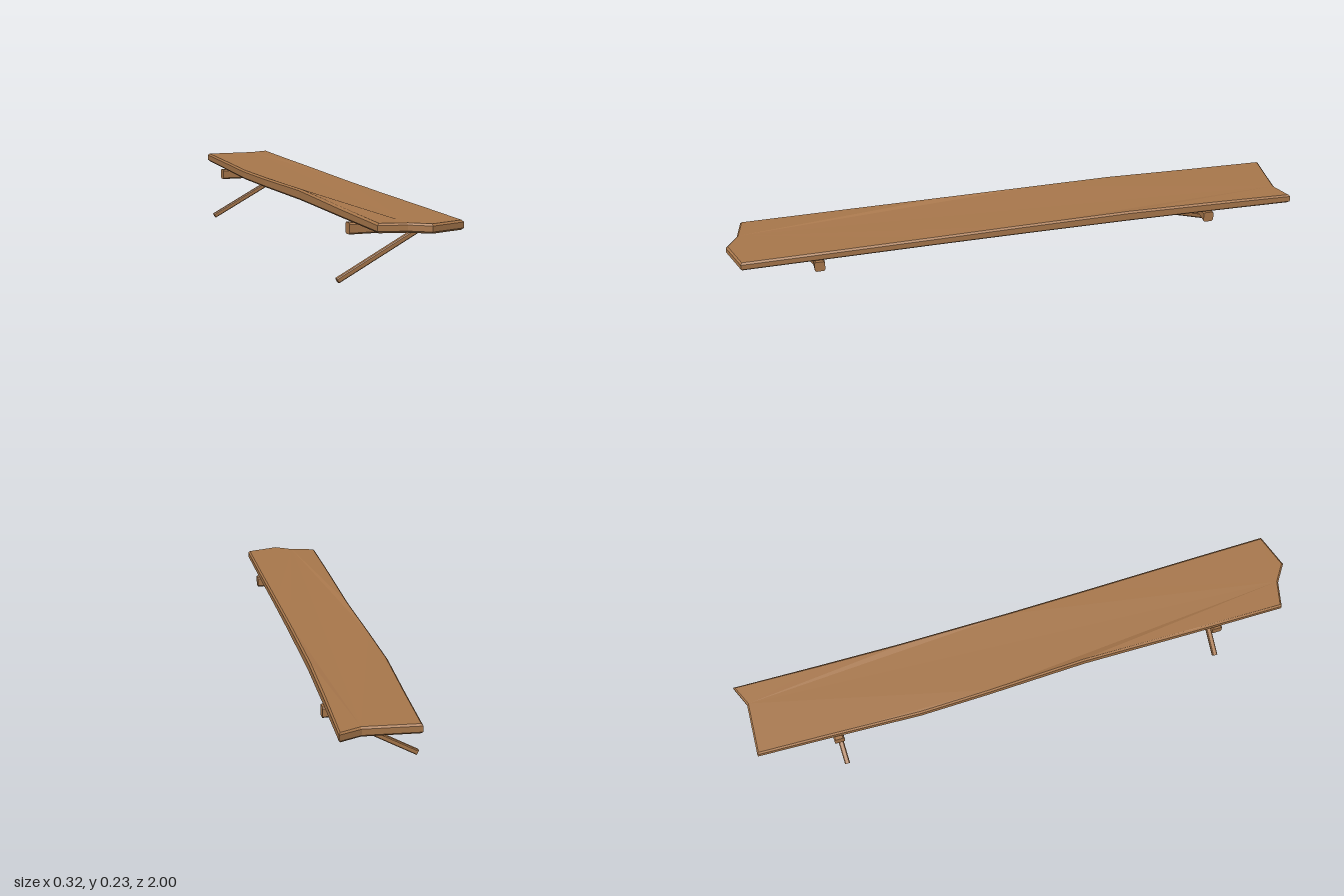
import * as THREE from 'three';

const wood = new THREE.MeshStandardMaterial({ color: 0xa9784c, flatShading: true });

// Horizontal slab: an outline of [x, z] points with chamfered edges, from y = 0 up to height
function slab(points, height, bevel) {
  const shape = new THREE.Shape(points.map(([x, z]) => new THREE.Vector2(x, -z)));
  const geo = new THREE.ExtrudeGeometry(shape, {
    depth: height - 2 * bevel, bevelEnabled: true, bevelSegments: 1,
    bevelSize: bevel, bevelThickness: bevel, bevelOffset: -bevel,
  });
  return geo.rotateX(-Math.PI / 2).translate(0, bevel, 0);
}

// Square timber along x with chamfered long edges, centred on the origin
function timber(length, height, width, chamfer) {
  const h = height / 2, w = width / 2, c = chamfer;
  const section = new THREE.Shape([
    [-w + c, -h], [w - c, -h], [w, -h + c], [w, h - c],
    [w - c, h], [-w + c, h], [-w, h - c], [-w, -h + c],
  ].map(([x, y]) => new THREE.Vector2(x, y)));
  const geo = new THREE.ExtrudeGeometry(section, { depth: length, bevelEnabled: false });
  return geo.translate(0, 0, -length / 2).rotateY(Math.PI / 2);
}

function add(parent, name, geo) {
  const mesh = new THREE.Mesh(geo, wood);
  mesh.name = name;
  parent.add(mesh);
  return mesh;
}

export function createModel() {
  const model = new THREE.Group();
  model.name = 'wallShelf';

  // Rough-sawn board: uneven long edges and broken ends
  const outline = [
    [-0.12, 0.935], [-0.03, 0.955], [0.032, 0.997], [0.152, 0.957],
    [0.15, 0.7], [0.145, 0.3], [0.142, 0], [0.142, -0.4], [0.149, -0.7], [0.158, -1],
    [0.083, -0.968], [-0.103, -0.977],
    [-0.113, -0.7], [-0.126, -0.4], [-0.122, -0.15], [-0.112, 0.2], [-0.118, 0.6],
  ];
  const board = slab(outline, 0.03, 0.006);
  // Slight warp: the board swells upward along each edge and sags below
  const pos = board.attributes.position;
  const bump = (z, centre, spread) => Math.exp(-(((z - centre) / spread) ** 2));
  for (let i = 0; i < pos.count; i++) {
    const x = pos.getX(i), y = pos.getY(i), z = pos.getZ(i);
    const lift = x < 0 ? 0.007 * bump(z, 0.25, 0.35) : 0.004 * bump(z, -0.4, 0.4);
    pos.setY(i, 0.193 + y + (y > 0.015 ? lift : -0.004 * bump(z, -0.35, 0.6)));
  }
  board.computeVertexNormals();
  add(model, 'board', board);

  // Two brackets: a crossbar under the board and a sloping brace
  for (const [side, z] of [['front', 0.695], ['back', -0.695]]) {
    const bracket = new THREE.Group();
    bracket.name = side + 'Bracket';
    bracket.position.z = z;
    add(bracket, 'crossbar', timber(0.277, 0.037, 0.036, 0.005)).position.set(0.015, 0.1725, 0);
    const brace = add(bracket, 'brace', timber(0.33, 0.0175, 0.018, 0.003));
    brace.position.set(-0.0125, 0.086, 0);
    brace.rotation.z = THREE.MathUtils.degToRad(28.4);
    model.add(bracket);
  }
  return model;
}
